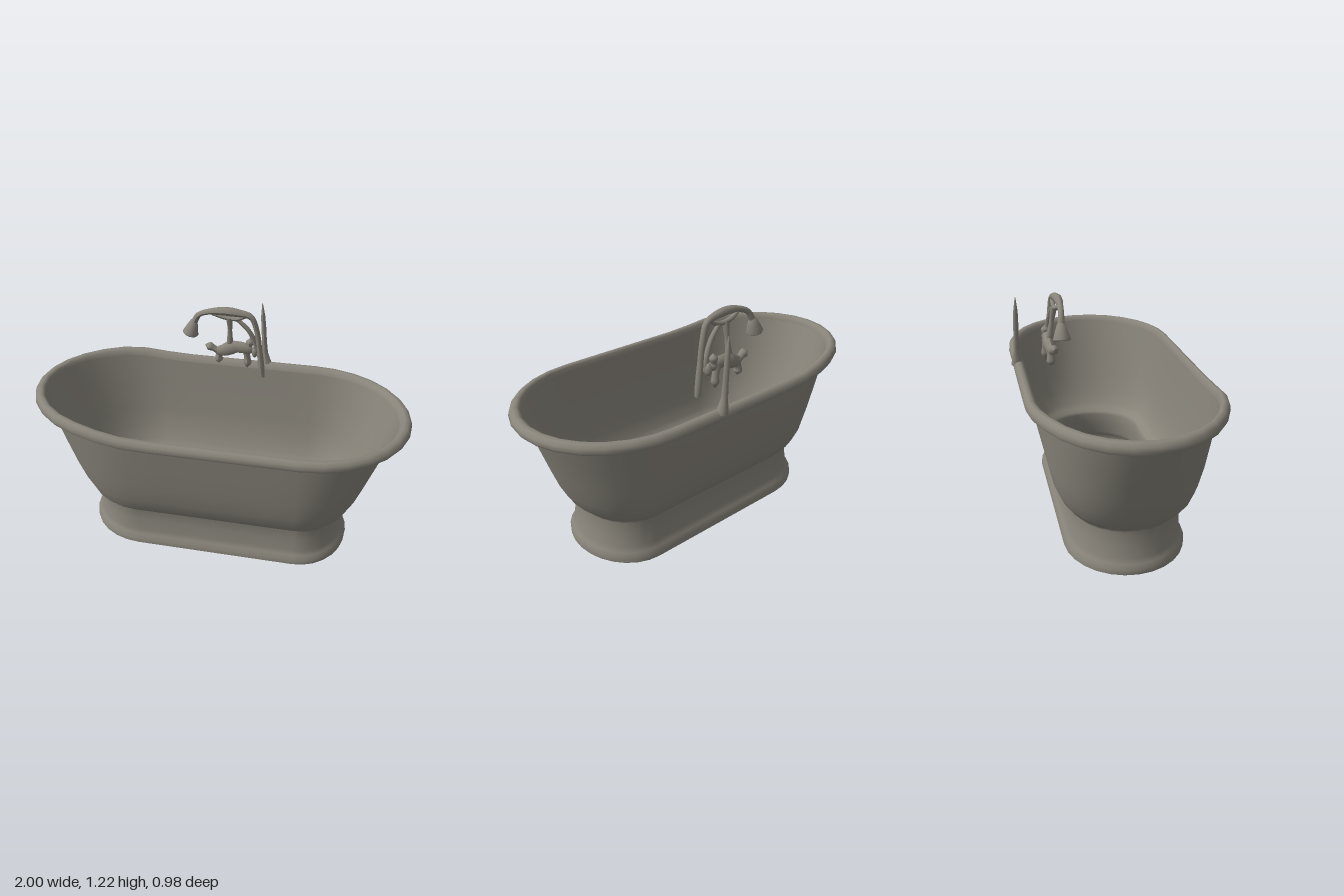
import * as THREE from 'three';

const enamel = new THREE.MeshStandardMaterial({ color: 0x89857b, side: THREE.DoubleSide });
enamel.name = 'stone grey';

const ARC = 7;      // segments per quarter end
const STRAIGHT = 6; // segments per long side

// Outline of one level: straight long sides with elliptical ends.
// level = [y, left x, right x, front z, back z]
function outline([y, left, right, front, back]) {
  const cL = -0.4, cR = 0.47, pts = [];
  const halfEnd = (start, cx, rx) => {
    for (let k = 0; k <= 2 * ARC; k++) {
      const t = start + k / ARC * Math.PI / 2, s = Math.sin(t);
      pts.push([cx + rx * Math.cos(t), y, s * (s >= 0 ? front : back)]);
    }
  };
  const side = (from, to, z) => {
    for (let s = 1; s < STRAIGHT; s++) pts.push([from + (to - from) * s / STRAIGHT, y, z]);
  };
  halfEnd(-Math.PI / 2, cR, right - cR);
  side(cR, cL, front);
  halfEnd(Math.PI / 2, cL, cL - left);
  side(cL, cR, -back);
  return pts;
}

// Raised backrest: the rim climbs towards the left end.
const lift = (x, y) => 0.033 * THREE.MathUtils.smoothstep(-x, 0.3, 0.66) * THREE.MathUtils.smoothstep(y, 0.6, 0.82);

function shell(name, levels) {
  const rings = levels.map(outline), n = rings[0].length;
  const pos = [], index = [];
  for (const ring of rings) for (const [x, y, z] of ring) pos.push(x, y + lift(x, y), z);
  for (let j = 0; j < rings.length - 1; j++) {
    for (let i = 0; i < n; i++) {
      const a = j * n + i, c = j * n + (i + 1) % n;
      index.push(a, a + n, c, c, a + n, c + n);
    }
  }
  const g = new THREE.BufferGeometry();
  g.setAttribute('position', new THREE.Float32BufferAttribute(pos, 3));
  g.setIndex(index);
  g.computeVertexNormals();
  const mesh = new THREE.Mesh(g, enamel);
  mesh.name = name;
  return mesh;
}

// Tube along a curve whose radius follows a list of values.
function taperedTube(name, points, radii, sides = 8) {
  const curve = new THREE.CatmullRomCurve3(points.map(p => new THREE.Vector3(...p)));
  const segs = (points.length - 1) * 5;
  const g = new THREE.TubeGeometry(curve, segs, 1, sides, false);
  const p = g.attributes.position, v = new THREE.Vector3();
  for (let i = 0; i < p.count; i++) {
    const u = Math.floor(i / (sides + 1)) / segs;
    const f = u * (radii.length - 1), k = Math.min(Math.floor(f), radii.length - 2);
    const r = THREE.MathUtils.lerp(radii[k], radii[k + 1], f - k);
    const c = curve.getPointAt(u);
    v.fromBufferAttribute(p, i).sub(c).multiplyScalar(r).add(c);
    p.setXYZ(i, v.x, v.y, v.z);
  }
  g.computeVertexNormals();
  const mesh = new THREE.Mesh(g, enamel);
  mesh.name = name;
  return mesh;
}

function knob(name, x, y, z, sx, sy, sz) {
  const mesh = new THREE.Mesh(new THREE.SphereGeometry(1, 10, 8), enamel);
  mesh.position.set(x, y, z);
  mesh.scale.set(sx, sy, sz);
  mesh.name = name;
  return mesh;
}

export function createModel() {
  const model = new THREE.Group();
  model.name = 'bathtub';

  // Open plinth with a flared foot, running smoothly into the basin walls
  model.add(shell('plinthAndBasin', [
    [0.008, -0.728, 0.738, 0.312, 0.318],
    [0.035, -0.73, 0.74, 0.312, 0.316],
    [0.06, -0.715, 0.728, 0.297, 0.304],
    [0.085, -0.702, 0.712, 0.287, 0.289],
    [0.16, -0.69, 0.7, 0.284, 0.28],
    [0.222, -0.682, 0.69, 0.281, 0.272],
    [0.24, -0.69, 0.7, 0.295, 0.282],
    [0.26, -0.71, 0.722, 0.322, 0.304],
    [0.29, -0.732, 0.75, 0.348, 0.325],
    [0.37, -0.775, 0.79, 0.375, 0.36],
    [0.48, -0.82, 0.83, 0.397, 0.38],
    [0.64, -0.88, 0.885, 0.417, 0.402],
    [0.79, -0.94, 0.935, 0.435, 0.422],
  ]));

  // Rolled rim
  model.add(shell('rim', [
    [0.79, -0.94, 0.935, 0.435, 0.422],
    [0.812, -0.945, 0.942, 0.44, 0.43],
    [0.823, -0.96, 0.96, 0.45, 0.447],
    [0.82, -0.98, 0.98, 0.466, 0.464],
    [0.805, -0.995, 0.995, 0.48, 0.478],
    [0.785, -1, 1, 0.484, 0.482],
    [0.77, -0.99, 0.99, 0.478, 0.476],
  ]));

  // Upright supply pipe on the back rim
  model.add(taperedTube('supplyPipe',
    [[0.19, 0.8, -0.462], [0.178, 0.87, -0.463], [0.165, 1.02, -0.46], [0.152, 1.18, -0.457]],
    [0.032, 0.017, 0.014, 0.014, 0.012, 0.002]));

  // Hand shower: curved handle and bell
  const faucet = new THREE.Group();
  faucet.name = 'faucet';
  faucet.add(taperedTube('showerArm',
    [[0.187, 0.823, -0.286], [0.17, 0.97, -0.283], [0.15, 1.1, -0.278], [0.118, 1.18, -0.27],
      [0.05, 1.2, -0.262], [-0.03, 1.206, -0.258], [-0.11, 1.195, -0.26], [-0.165, 1.17, -0.265], [-0.19, 1.125, -0.27]],
    [0.015, 0.018, 0.017, 0.015, 0.015, 0.015, 0.016, 0.019, 0.024, 0.022, 0.016, 0.015, 0.018]));
  faucet.add(knob('armTip', 0.187, 0.823, -0.286, 0.015, 0.008, 0.015));
  const bell = new THREE.Mesh(new THREE.LatheGeometry(
    [[0, -0.05], [0.04, -0.05], [0.044, -0.043], [0.032, -0.005], [0.02, 0.03], [0, 0.045]]
      .map(p => new THREE.Vector2(...p)), 12), enamel);
  bell.name = 'showerBell';
  bell.position.set(-0.2, 1.1, -0.271);
  bell.rotation.z = -0.28;
  faucet.add(bell);

  // Cradle holding the hand shower
  const cradle = [
    ['cradleBar', [[-0.09, 1.185, -0.265], [-0.03, 1.165, -0.275], [0.04, 1.16, -0.275], [0.1, 1.185, -0.27]], [0.01, 0.013, 0.013, 0.01]],
    ['cradlePost', [[0, 1.165, -0.276], [0.002, 1.1, -0.288], [0, 1.0, -0.305]], [0.018, 0.012, 0.018]],
    ['cradleBrace', [[0.04, 1.16, -0.275], [0.1, 1.1, -0.285], [0.14, 1.02, -0.295], [0.15, 0.95, -0.3]], [0.011, 0.013, 0.014, 0.011]],
  ];
  for (const part of cradle) faucet.add(taperedTube(...part));

  // Mixer body, spouts and handles
  const body = taperedTube('mixerBody',
    [[-0.1, 0.95, 0.012], [-0.04, 0.95, 0.005], [0.02, 0.975, 0], [0.08, 0.975, 0], [0.145, 0.955, 0]],
    [0, 0.03, 0.037, 0.042, 0.036, 0.034, 0.028, 0]);
  body.position.z = -0.308;
  body.scale.z = 0.75;
  faucet.add(body);
  const fittings = [
    ['spout', [[-0.05, 0.95, -0.306], [-0.062, 0.91, -0.308], [-0.06, 0.87, -0.308]], [0.026, 0.02, 0.02, 0.024, 0]],
    ['outlet', [[0.085, 0.97, -0.312], [0.098, 0.91, -0.315], [0.098, 0.85, -0.316]], [0.024, 0.018, 0.018, 0.024, 0]],
    ['leftHandle', [[0.1, 0.97, -0.31], [0.11, 1.01, -0.312], [0.11, 1.038, -0.312]], [0.018, 0.018, 0.024, 0]],
    ['rightHandle', [[-0.07, 0.95, -0.302], [-0.105, 0.97, -0.298], [-0.138, 0.982, -0.296]], [0.018, 0.018, 0.026, 0]],
  ];
  for (const part of fittings) faucet.add(taperedTube(...part));
  faucet.add(knob('leftKnob', 0.14, 0.96, -0.306, 0.018, 0.035, 0.024));
  model.add(faucet);

  return model;
}
